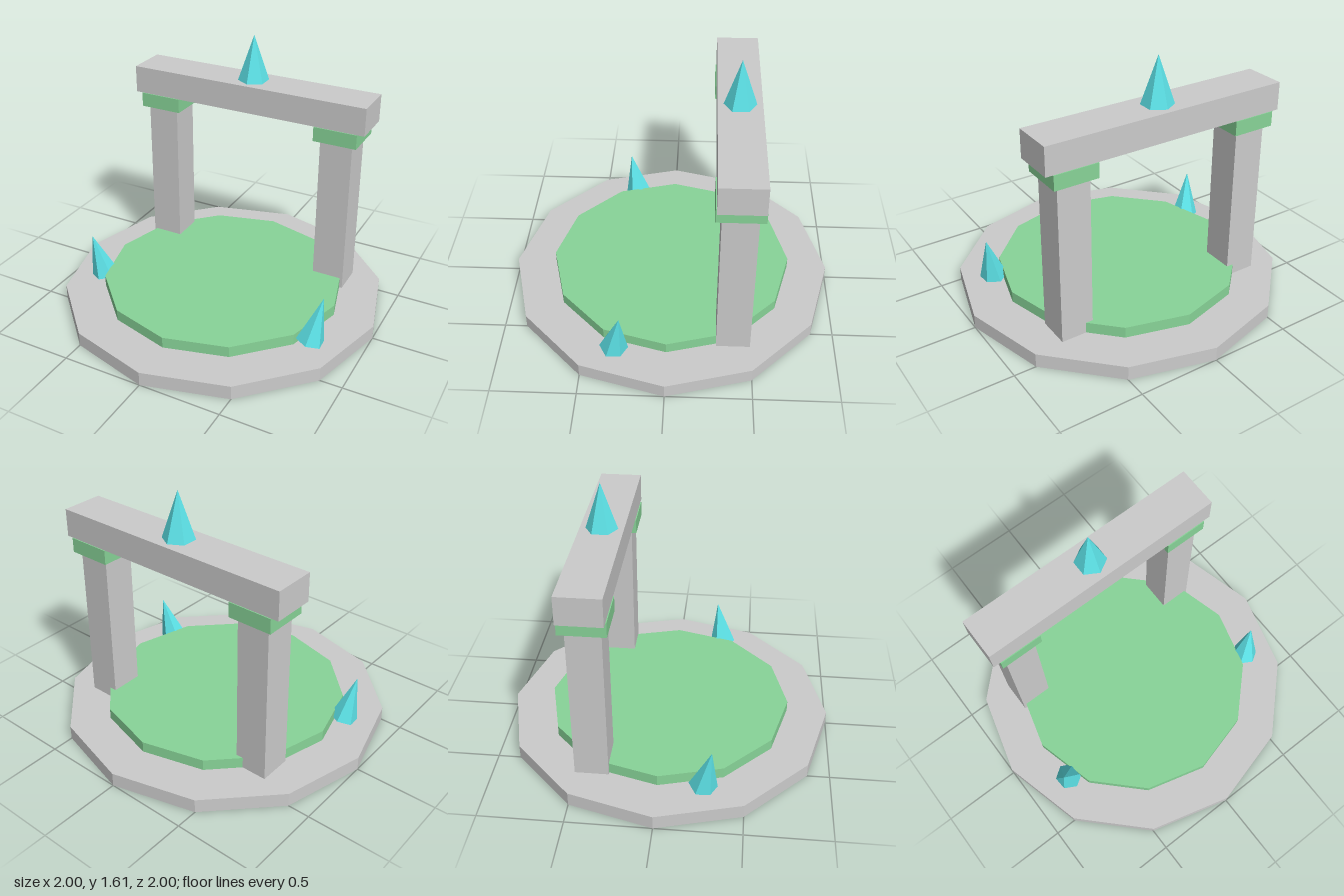
import * as THREE from 'three';

const material = (color) => new THREE.MeshStandardMaterial({ color, flatShading: true });

export function createModel() {
  const model = new THREE.Group();
  const stone = material(0xcccccc);
  const moss = material(0x88d498);
  const gem = material(0x5ce1e6);

  function add(name, geometry, mat, x, y, z) {
    const mesh = new THREE.Mesh(geometry, mat);
    mesh.name = name;
    mesh.position.set(x, y, z);
    model.add(mesh);
    return mesh;
  }

  // Box and twelve-sided disc, both placed by their bottom and top heights
  const box = (name, mat, w, d, y0, y1, x, z) =>
    add(name, new THREE.BoxGeometry(w, y1 - y0, d), mat, x, (y0 + y1) / 2, z);
  const disc = (name, mat, r, y0, y1) =>
    add(name, new THREE.CylinderGeometry(r, r, y1 - y0, 12), mat, 0, (y0 + y1) / 2, 0);

  // Six-sided crystal running from its base centre to its tip
  function crystal(name, radius, base, tip, yaw = 0) {
    const axis = tip.clone().sub(base);
    const height = axis.length();
    const geometry = new THREE.ConeGeometry(radius, height, 6);
    geometry.translate(0, height / 2, 0).rotateY(yaw);
    const mesh = add(name, geometry, gem, base.x, base.y, base.z);
    mesh.quaternion.setFromUnitVectors(new THREE.Vector3(0, 1, 0), axis.normalize());
  }
  const v = (x, y, z) => new THREE.Vector3(x, y, z);

  // Stepped platform
  disc('platform', stone, 1, 0, 0.086);
  disc('platformInlay', moss, 0.75, 0.08, 0.154);

  // Gateway: two pillars with capitals, and the lintel across them
  const gateZ = -0.39;
  for (const [side, s] of [['left', 1], ['right', -1]]) {
    box(side + 'Pillar', stone, 0.2, 0.2, 0.086, 1.07, s * 0.59, gateZ);
    box(side + 'Capital', moss, 0.268, 0.268, 1.07, 1.16, s * 0.59, gateZ);
  }
  box('lintel', stone, 1.535, 0.257, 1.16, 1.33, 0, gateZ);

  // Crystals: one upright on the lintel, two leaning outward on the platform
  crystal('topCrystal', 0.095, v(0, 1.33, gateZ), v(0, 1.612, gateZ));
  crystal('leftCrystal', 0.085, v(0.723, 0.096, 0.308), v(0.776, 0.374, 0.266), 0.05);
  crystal('rightCrystal', 0.085, v(-0.731, 0.096, 0.262), v(-0.777, 0.374, 0.308), 0.05);

  return model;
}
